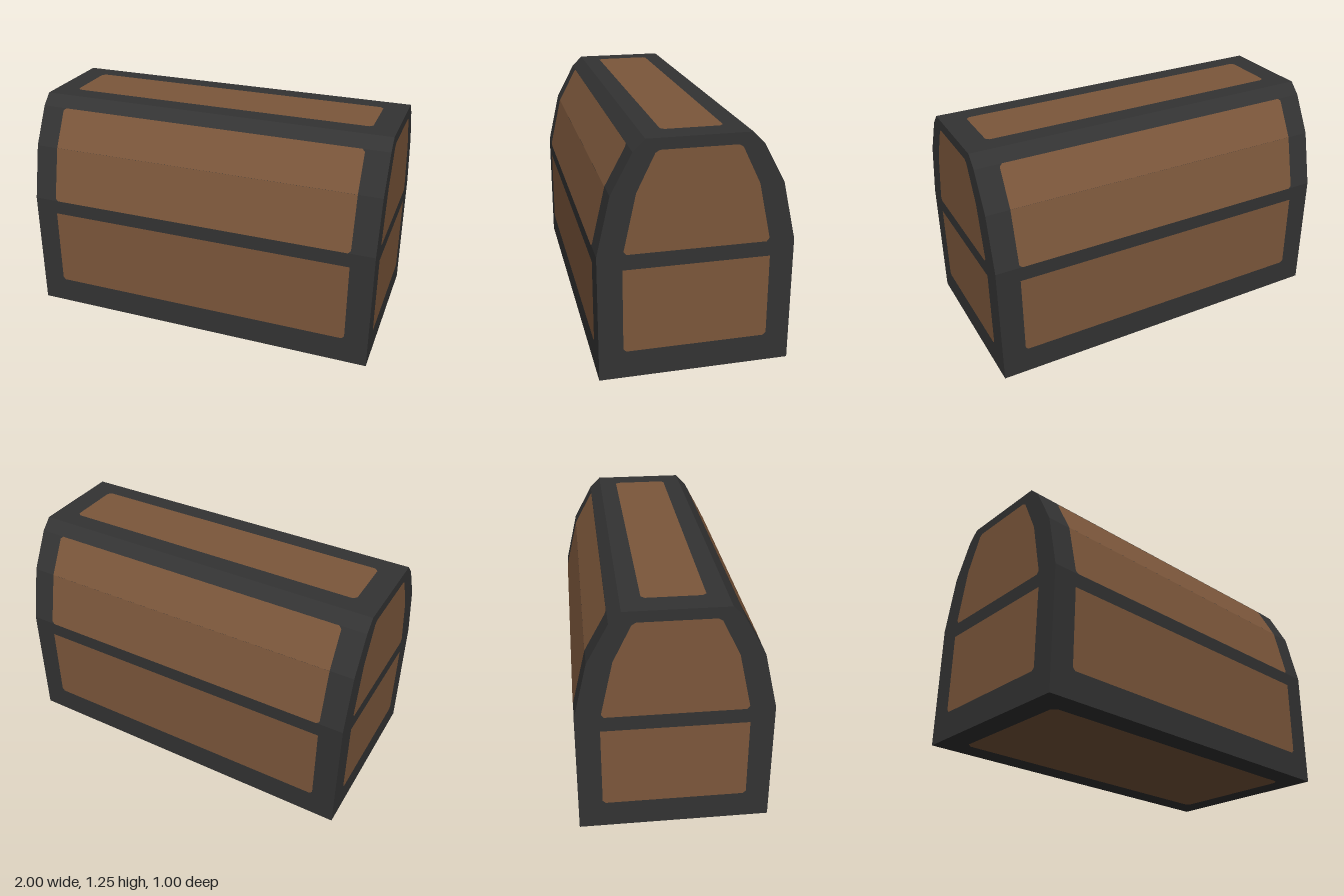
import * as THREE from 'three';

export function createModel() {
  const chest = new THREE.Group();
  chest.name = 'chest';

  const iron = new THREE.MeshStandardMaterial({ color: 0x333333 });
  iron.name = 'dark iron';
  const wood = new THREE.MeshStandardMaterial({ color: 0x7c573b });
  wood.name = 'brown wood';

  // Front half of the cross-section, as [z, y]
  const foot = [0.5, 0], rim = [0.5, 0.68], fold = [0.43, 0.985];
  const shoulder = [0.32, 1.19], crown = [0.26, 1.25];
  const LIFT = 0.002; // keeps the panels just proud of the iron
  const HALF = 0.87; // half length of the long panels

  const mirrored = (half) => [...half, ...half.map(([a, b]) => [-a, b]).reverse()];

  function addMesh(name, geometry, material) {
    const mesh = new THREE.Mesh(geometry, material);
    mesh.name = name;
    chest.add(mesh);
  }

  // Solid prism running along x
  function addPrism(name, half) {
    const shape = new THREE.Shape(mirrored(half).map(([z, y]) => new THREE.Vector2(z, y)));
    const geometry = new THREE.ExtrudeGeometry(shape, { depth: 2, bevelEnabled: false });
    geometry.translate(0, 0, -1).rotateY(Math.PI / 2);
    addMesh(name, geometry, iron);
  }

  // Flat outline whose corners are clipped by the given amounts
  function clippedFace(corners) {
    const points = [];
    corners.forEach(([x, y, clip = 0], i) => {
      const p = new THREE.Vector2(x, y);
      if (!clip) return points.push(p);
      for (const step of [-1, 1]) {
        const q = corners[(i + step + corners.length) % corners.length];
        const toward = new THREE.Vector2(q[0] - x, q[1] - y).setLength(clip);
        points.push(p.clone().add(toward));
      }
    });
    return new THREE.ShapeGeometry(new THREE.Shape(points));
  }

  // Rectangle with separate clips for its bottom and top corners
  const rectangle = (w, y0, y1, low, high) =>
    clippedFace([[w, y0, low], [w, y1, high], [-w, y1, high], [-w, y0, low]]);

  // Panel lying on the sloping strip between two points of the cross-section
  function slopePanel(from, to, low, high) {
    const dz = to[0] - from[0], dy = to[1] - from[1];
    return rectangle(HALF, 0, Math.hypot(dz, dy), low, high)
      .translate(0, 0, LIFT)
      .rotateX(Math.atan2(dz, dy))
      .translate(0, from[1], from[0]);
  }

  // Iron shell
  addPrism('base', [foot, rim]);
  addPrism('lid', [rim, fold, shoulder, crown]);

  // Long panels on the front and back
  for (const [side, turn] of [['front', 0], ['back', Math.PI]]) {
    const base = rectangle(HALF, 0.15, 0.6, 0.015, 0).translate(0, 0, 0.5 + LIFT);
    addMesh(side + 'BasePanel', base.rotateY(turn), wood);
    addMesh(side + 'LidLowerPanel', slopePanel(rim, fold, 0.015, 0).rotateY(turn), wood);
    addMesh(side + 'LidUpperPanel', slopePanel(fold, shoulder, 0, 0.015).rotateY(turn), wood);
  }

  // End panels
  for (const [side, turn] of [['left', Math.PI / 2], ['right', -Math.PI / 2]]) {
    const base = rectangle(0.375, 0.15, 0.6, 0.015, 0).translate(0, 0, 1 + LIFT);
    addMesh(side + 'BasePanel', base.rotateY(turn), wood);
    const arch = mirrored([[0.372, 0.68], [0.305, 0.99], [0.207, 1.193]]);
    const clips = [0.018, 0, 0.015, 0.015, 0, 0.018];
    const lid = clippedFace(arch.map((p, i) => [...p, clips[i]])).translate(0, 0, 1 + LIFT);
    addMesh(side + 'LidPanel', lid.rotateY(turn), wood);
  }

  // Panels on the crown and underside
  const top = rectangle(HALF, -0.157, 0.157, 0.018, 0.018);
  addMesh('topPanel', top.rotateX(-Math.PI / 2).translate(0, crown[1] + LIFT, 0), wood);
  const bottom = rectangle(HALF, -0.37, 0.37, 0.025, 0.025);
  addMesh('bottomPanel', bottom.rotateX(Math.PI / 2).translate(0, -LIFT, 0), wood);

  return chest;
}
